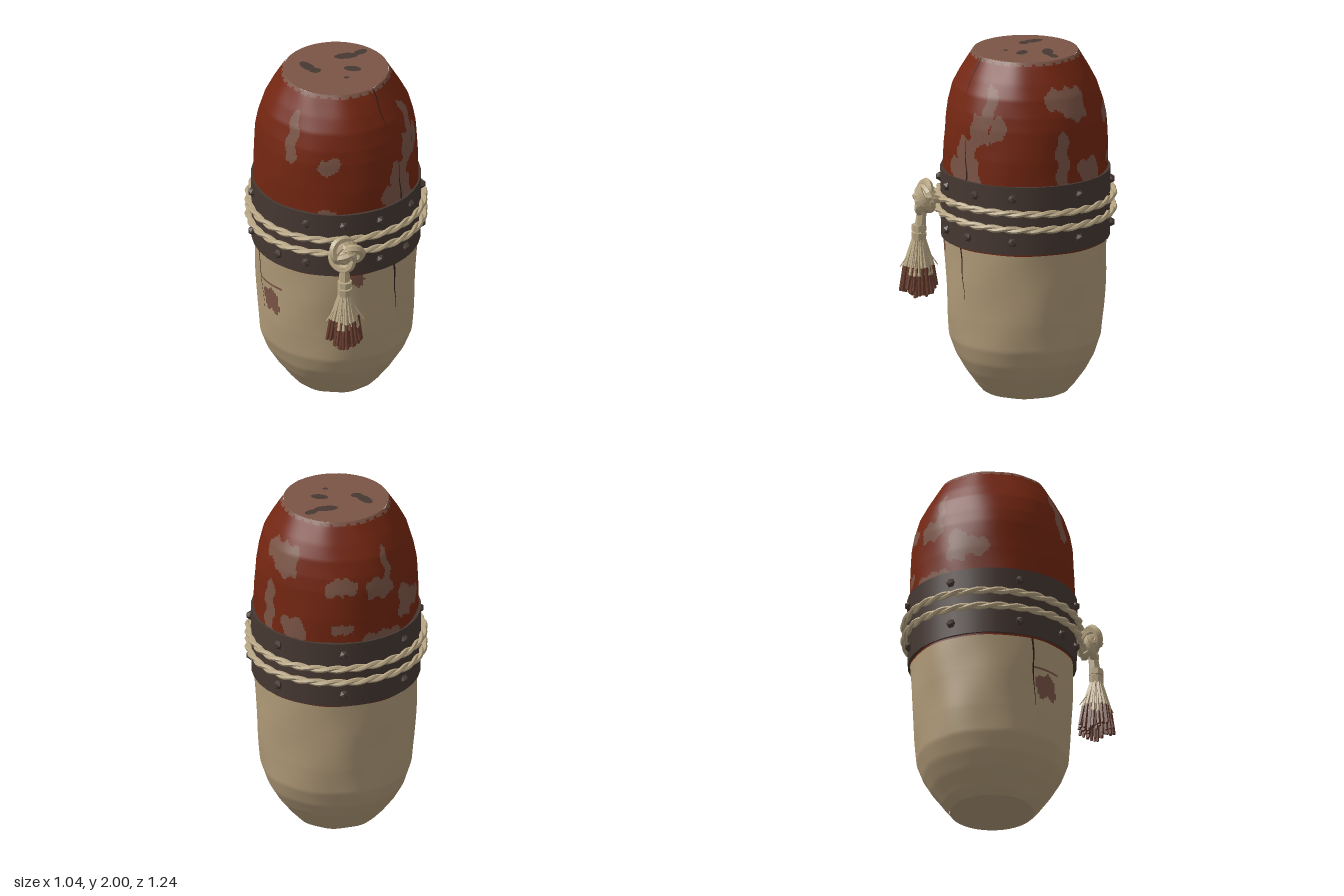
import * as THREE from 'three';

const Z0 = -0.105; // the body axis sits behind the origin, the tassel hangs in front
const RAD = Math.PI / 180;
const mat = (name, color, extra = {}) => {
  const m = new THREE.MeshStandardMaterial({ color, ...extra });
  m.name = name;
  return m;
};

// radius / height profiles
const UPPER = [[0.465, 0.9], [0.468, 1.3], [0.466, 1.45], [0.455, 1.62], [0.441, 1.7],
  [0.412, 1.8], [0.37, 1.88], [0.315, 1.97], [0.298, 1.996]];
const LOWER = [[0.238, 0], [0.282, 0.05], [0.29, 0.062], [0.345, 0.135], [0.395, 0.22],
  [0.43, 0.32], [0.444, 0.48], [0.455, 0.7], [0.463, 0.95]];

// worn patches: degrees from the front, height, half width in degrees, half height
const UPPER_PATCHES = [
  [-41, 1.74, 5, 0.15], [-10, 1.61, 8, 0.05], [-10, 1.31, 7, 0.025],
  [44, 1.36, 15, 0.08], [46, 1.48, 9, 0.08], [58, 1.62, 8, 0.09], [65, 1.77, 5, 0.1], [72, 1.63, 6, 0.07],
  [118, 1.79, 9, 0.06], [133, 1.76, 11, 0.09], [120, 1.45, 5, 0.16], [143, 1.37, 10, 0.07],
  [178, 1.65, 12, 0.05], [-152, 1.62, 11, 0.06], [-145, 1.74, 3, 0.1],
  [-128, 1.48, 8, 0.1], [-114, 1.46, 8, 0.06], [178, 1.39, 8, 0.03], [-152, 1.32, 16, 0.03],
  [0, 2, 400, 0.024],
];
const LOWER_PATCHES = [[-60, 0.63, 9, 0.07], [-60, 0.73, 12, 0.008], [8, 0.88, 6, 0.055]];

function radiusAt(profile, y) {
  for (let i = 1; i < profile.length; i++) {
    const [r0, y0] = profile[i - 1], [r1, y1] = profile[i];
    if (y <= y1) return r0 + (r1 - r0) * (y - y0) / (y1 - y0);
  }
  return profile[profile.length - 1][0];
}

// point on a slightly uneven, hand-carved surface
function surfacePoint(profile, deg, y, lift = 0) {
  const t = deg * RAD;
  const dent = 0.003 * Math.sin(9 * t + 7 * y) + 0.002 * Math.sin(5 * t - 13 * y);
  const r = radiusAt(profile, y) + dent + lift;
  return [r * Math.sin(t), y, r * Math.cos(t) + Z0];
}

// rounded box with a ragged edge
function inPatch([d, h, w, v], deg, y) {
  const turn = ((deg - d + 540) % 360) - 180;
  const a = (turn + 1.3 * Math.sin(y * 47 + d)) / w;
  const b = (y - h + 0.012 * Math.sin(deg * 0.55 + h * 9) * Math.min(1, v * 20)) / v;
  return a ** 4 + Math.abs(b) ** 3 < 1;
}

// revolved shell whose cells fall into a base group and a worn group
function shellGeometry(profile, patches, nT, nY) {
  const y0 = profile[0][1], y1 = profile[profile.length - 1][1];
  const pos = [], base = [], worn = [];
  for (let j = 0; j <= nY; j++)
    for (let i = 0; i < nT; i++)
      pos.push(...surfacePoint(profile, -180 + 360 * i / nT, y0 + (y1 - y0) * j / nY));
  for (let j = 0; j < nY; j++) {
    for (let i = 0; i < nT; i++) {
      const deg = -180 + 360 * (i + 0.5) / nT, y = y0 + (y1 - y0) * (j + 0.5) / nY;
      const hit = patches.some(p => inPatch(p, deg, y));
      const a = j * nT + i, b = j * nT + (i + 1) % nT, c = b + nT, d = a + nT;
      (hit ? worn : base).push(a, b, c, a, c, d);
    }
  }
  const g = new THREE.BufferGeometry();
  g.setAttribute('position', new THREE.Float32BufferAttribute(pos, 3));
  g.setIndex([...base, ...worn]);
  g.addGroup(0, base.length, 0);
  g.addGroup(base.length, worn.length, 1);
  g.computeVertexNormals();
  return g;
}

// thin tapering ribbon that follows the shell
function crackGeometry(profile, [d0, y0], [d1, y1], width) {
  const pos = [], idx = [], n = 10;
  for (let i = 0; i <= n; i++) {
    const k = i / n, w = width * (1 - k) + 0.15;
    const deg = d0 + (d1 - d0) * k + 0.5 * Math.sin(k * 9), y = y0 + (y1 - y0) * k;
    pos.push(...surfacePoint(profile, deg - w, y, 0.003), ...surfacePoint(profile, deg + w, y, 0.003));
    if (i) idx.push(2 * i - 2, 2 * i - 1, 2 * i + 1, 2 * i - 2, 2 * i + 1, 2 * i);
  }
  const g = new THREE.BufferGeometry();
  g.setAttribute('position', new THREE.Float32BufferAttribute(pos, 3));
  g.setIndex(idx);
  g.computeVertexNormals();
  return g;
}

export function createModel() {
  const model = new THREE.Group();
  const red = mat('red paint', 0x732611);
  const brown = mat('worn wood', 0x7a5445);
  const dark = mat('dark iron', 0x463832);
  const cream = mat('pale wood', 0xb09a78);
  const rope = mat('rope fibre', 0xb8a684, { flatShading: true });
  const tip = mat('stained fibre', 0x653b2d, { flatShading: true });
  const crack = mat('crack', 0x35211a, { side: THREE.DoubleSide });
  const add = (name, geo, m, x = 0, y = 0, z = 0, parent = model) => {
    const mesh = new THREE.Mesh(geo, m);
    mesh.name = name;
    mesh.position.set(x, y, z);
    parent.add(mesh);
    return mesh;
  };

  // body halves with end faces
  add('upperShell', shellGeometry(UPPER, UPPER_PATCHES, 300, 100), [red, brown]);
  add('lowerShell', shellGeometry(LOWER, LOWER_PATCHES, 180, 76), [cream, brown]);
  add('topFace', new THREE.CircleGeometry(0.3, 40), brown, 0, 1.995, Z0).rotation.x = -Math.PI / 2;
  add('bottomFace', new THREE.CircleGeometry(0.241, 40), cream, 0, 0.001, Z0).rotation.x = Math.PI / 2;

  // dark spots on the top face: x, z, half length, half width, turn
  [[-0.16, -0.14, 0.065, 0.032, -1], [-0.12, -0.09, 0.035, 0.028, 0], [0.07, -0.235, 0.072, 0.033, 0.1],
    [0.155, -0.27, 0.045, 0.026, 0.5], [0.093, -0.09, 0.052, 0.03, -0.3], [0.05, 0.004, 0.017, 0.012, 0]]
    .forEach(([x, z, a, b, turn], i) => {
      const spot = add('topSpot', new THREE.CircleGeometry(1, 9), dark, x, 1.999 + i * 0.0002, z);
      spot.scale.set(a, b, 1);
      spot.rotation.set(-Math.PI / 2, 0, turn);
    });

  // cracks
  [[UPPER, [38, 1.99], [37, 1.79], 0.8], [UPPER, [47, 1.31], [45, 1.55], 0.6],
    [LOWER, [40, 0.9], [43, 0.6], 0.7], [LOWER, [-74, 0.9], [-70, 0.5], 0.6]]
    .forEach(a => add('crack', crackGeometry(...a), crack));

  // iron band with two rows of studs
  add('band', new THREE.CylinderGeometry(0.484, 0.48, 0.4, 36), dark, 0, 1.11, Z0);
  const rows = [[1.24, [0, -26, 26, 56, -84, 84, -132, 132, 180]],
    [0.985, [-48, -26, 26, 50, -84, 84, -132, 132, 180]]];
  for (const [y, angles] of rows)
    for (const a of angles) {
      const s = add('stud', new THREE.IcosahedronGeometry(0.028, 0), dark,
        0.483 * Math.sin(a * RAD), y, 0.483 * Math.cos(a * RAD) + Z0);
      s.rotation.y = a * RAD;
    }

  // two turns of twisted rope
  [1.158, 1.068].forEach((y, k) => {
    for (let s = 0; s < 2; s++) {
      const pts = [];
      for (let i = 0; i < 168; i++) {
        const t = i / 168 * Math.PI * 2, w = t * 14 + s * Math.PI;
        const r = 0.499 + 0.009 * Math.cos(w);
        pts.push(new THREE.Vector3(r * Math.sin(t), y + 0.009 * Math.sin(w) + 0.005 * Math.sin(t * 2 + k), r * Math.cos(t) + Z0));
      }
      add('ropeStrand', new THREE.TubeGeometry(new THREE.CatmullRomCurve3(pts, true), 220, 0.0135, 6, true), rope);
    }
  });

  // knot at the front
  const knot = new THREE.Group();
  knot.name = 'knot';
  knot.position.set(0, 1.11, 0.455);
  model.add(knot);
  add('knotCore', new THREE.IcosahedronGeometry(0.07, 1), rope, 0, 0, 0, knot);
  add('knotLoops', new THREE.TorusKnotGeometry(0.062, 0.024, 90, 6, 2, 3), rope, 0, 0, 0.015, knot);
  [[0.3, 0.5, 0.2], [1.4, 0.3, 0.6], [0.6, -0.8, 1.1]].forEach(e =>
    add('knotWrap', new THREE.TorusGeometry(0.066, 0.021, 6, 16), rope, 0, 0, 0, knot).rotation.set(...e));

  // tassel: neck, collar, strands with stained tips
  const tassel = new THREE.Group();
  tassel.name = 'tassel';
  tassel.position.set(-0.006, 0, 0.5);
  model.add(tassel);
  add('neck', new THREE.CylinderGeometry(0.028, 0.036, 0.16, 7), rope, 0, 0.96, -0.01, tassel).rotation.x = -0.1;
  add('collar', new THREE.CylinderGeometry(0.041, 0.043, 0.035, 8), rope, 0, 0.935, 0, tassel);
  add('collar', new THREE.CylinderGeometry(0.043, 0.04, 0.045, 8), rope, 0, 0.885, 0, tassel);
  add('skirtCore', new THREE.CylinderGeometry(0.034, 0.066, 0.2, 9), rope, 0, 0.775, 0, tassel);
  const up = new THREE.Vector3(0, 1, 0);
  const strand = (name, a, b, r0, r1, m) => {
    const d = a.clone().sub(b), mid = a.clone().add(b).multiplyScalar(0.5);
    add(name, new THREE.CylinderGeometry(r0, r1, d.length(), 4), m, mid.x, mid.y, mid.z, tassel)
      .quaternion.setFromUnitVectors(up, d.normalize());
  };
  for (let i = 0; i < 54; i++) {
    const t = i * 2.39996, f = 0.25 + 0.75 * Math.sqrt((i + 0.5) / 54);
    const end = 0.54 + 0.04 * f * f + 0.018 * Math.sin(i * 5.3);
    const at = (r, y) => new THREE.Vector3(Math.cos(t) * r * f, y, Math.sin(t) * r * f);
    const top = at(0.033, 0.87), split = at(0.082, 0.69 + 0.025 * Math.sin(i * 3.1)), low = at(0.106, end);
    strand('strand', top, split, 0.008, 0.011, rope);
    strand('strandTip', split, low, 0.011, 0.009, tip);
  }
  // stray fibres
  [0.2, 2.9, 1.3, 4.4].forEach(t => strand('strayFibre', new THREE.Vector3(0, 0.87, 0),
    new THREE.Vector3(Math.cos(t) * 0.11, 0.71, Math.sin(t) * 0.11), 0.004, 0.003, rope));

  return model;
}
